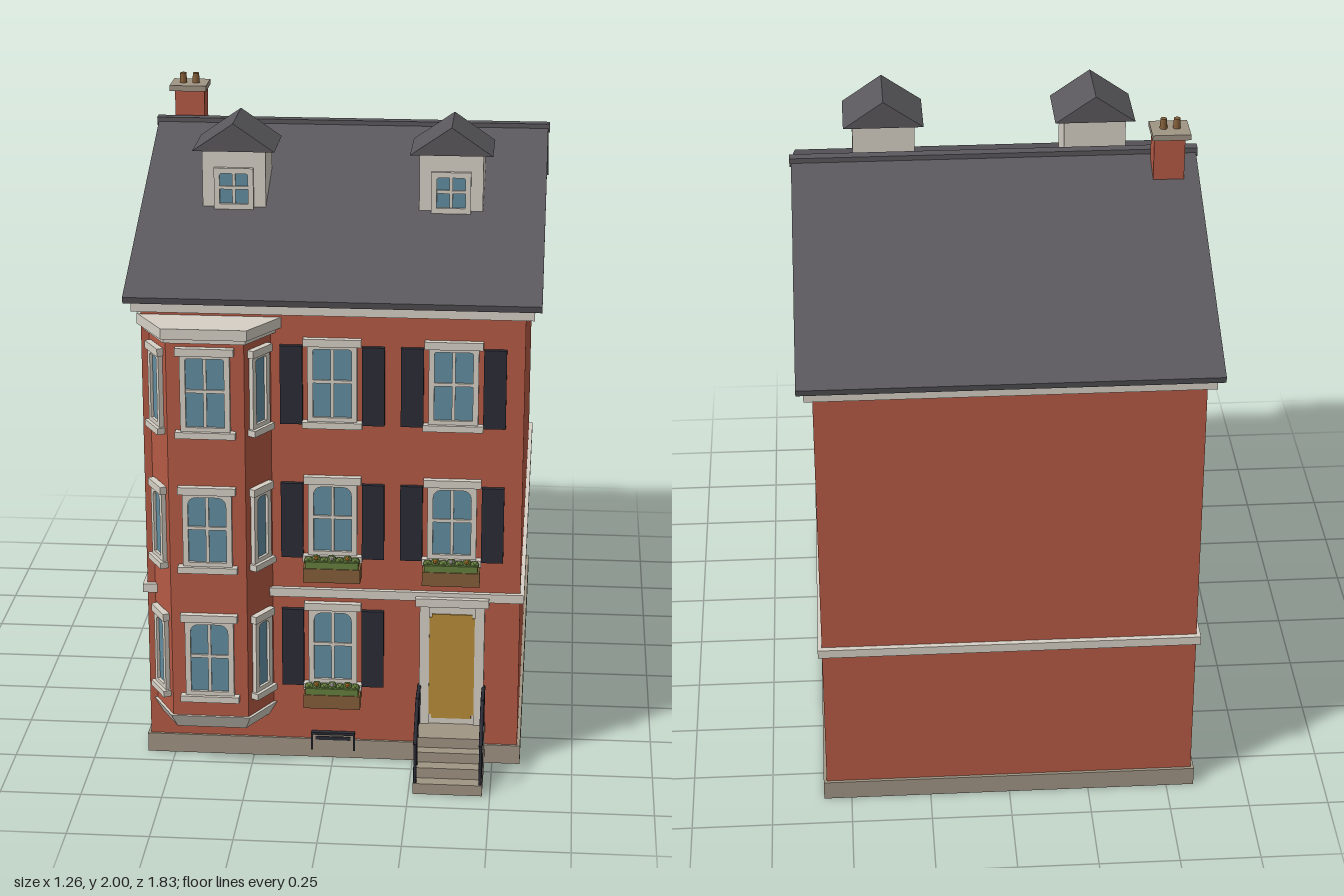
import * as THREE from 'three';

const mat = (name, color, side = THREE.FrontSide) => {
  const m = new THREE.MeshStandardMaterial({ color, side });
  m.name = name;
  return m;
};

export function createModel() {
  const brick = mat('brick', 0xb55a45), slate = mat('slate', 0x5a585c), stone = mat('stone', 0xa09584);
  const trim = mat('trim', 0xd6d0c5), glass = mat('glass', 0x628da0), gold = mat('door', 0xb88d3a);
  const dark = mat('dark', 0x2b2c35), wood = mat('wood', 0x85603a), leaf = mat('leaf', 0x66803f);
  const bloom = mat('bloom', 0xd08a35);
  const house = new THREE.Group();
  house.name = 'townhouse';

  const add = (parent, name, geo, material, x = 0, y = 0, z = 0) => {
    const m = new THREE.Mesh(geo, material);
    m.name = name;
    m.position.set(x, y, z);
    parent.add(m);
    return m;
  };
  // Box given by its limits on each axis
  const box = (parent, name, material, x0, x1, y0, y1, z0, z1) =>
    add(parent, name, new THREE.BoxGeometry(x1 - x0, y1 - y0, z1 - z0), material,
      (x0 + x1) / 2, (y0 + y1) / 2, (z0 + z1) / 2);
  const group = (parent, name, x, y, z) => {
    const g = new THREE.Group();
    g.name = name;
    g.position.set(x, y, z);
    parent.add(g);
    return g;
  };
  const poly = (pts) => new THREE.Shape(pts.map(([a, b]) => new THREE.Vector2(a, b)));
  const extrude = (shape, depth) => new THREE.ExtrudeGeometry(shape, { depth, bevelEnabled: false, curveSegments: 6 });
  // Profile in (z, y), swept along x
  const sweepX = (pts, width) => extrude(poly(pts), width).translate(0, 0, -width / 2).rotateY(-Math.PI / 2);
  // Plan in (x, z), raised from 0 to h
  const raise = (pts, h) => extrude(poly(pts.map(([x, z]) => [x, -z])), h).rotateX(-Math.PI / 2);
  // Round bar between two points
  const bar = (parent, name, a, b, r) => {
    const p = new THREE.Vector3(...a), q = new THREE.Vector3(...b), d = q.clone().sub(p);
    const m = add(parent, name, new THREE.CylinderGeometry(r, r, d.length(), 8), dark);
    m.position.copy(p).add(q).multiplyScalar(0.5);
    m.quaternion.setFromUnitVectors(new THREE.Vector3(0, 1, 0), d.normalize());
  };

  // Walls with gables, plinth, string course and cornice
  add(house, 'walls', sweepX([[-0.87, 0.005], [0.68, 0.005], [0.68, 1.49], [-0.095, 1.84], [-0.87, 1.49]], 1.155), brick);
  box(house, 'plinth', stone, -0.587, 0.587, 0, 0.062, -0.88, 0.688);
  box(house, 'stringCourse', trim, -0.59, 0.59, 0.548, 0.576, -0.887, 0.695);
  box(house, 'cornice', trim, -0.603, 0.603, 1.462, 1.492, -0.895, 0.705);

  // Main roof and ridge
  add(house, 'roof', sweepX([[0.72, 1.492], [0.725, 1.512], [-0.097, 1.864], [-0.915, 1.512], [-0.91, 1.492], [-0.097, 1.842]], 1.25), slate);
  box(house, 'ridge', slate, -0.63, 0.63, 1.845, 1.872, -0.115, -0.082);

  // Chimney with two pots
  box(house, 'chimney', brick, -0.577, -0.482, 1.75, 1.95, -0.212, -0.127);
  box(house, 'chimneyCap', stone, -0.593, -0.475, 1.95, 1.968, -0.225, -0.116);
  for (const x of [-0.555, -0.514])
    add(house, 'chimneyPot', new THREE.CylinderGeometry(0.01, 0.012, 0.035, 12), wood, x, 1.9825, -0.17);

  // Sash window on a wall plane: frame with opening, glass, bars, sill and head
  function sash(parent, x, y, z, { w = 0.15, h = 0.25, turn = 0, arched = false, rim = 0.017, ledge = 0.016, cross = true }) {
    const g = group(parent, 'window', x, y, z);
    g.rotation.y = turn;
    const a = w / 2, b = a - rim, top = h - rim, c = arched ? Math.min(0.03, b * 0.8) : 0.008;
    const frame = poly([[-a, 0], [a, 0], [a, h], [-a, h]]);
    const hole = new THREE.Path();
    hole.moveTo(-b, rim);
    hole.lineTo(-b, top - c);
    hole.quadraticCurveTo(-b, top, -b + c, top);
    hole.lineTo(b - c, top);
    hole.quadraticCurveTo(b, top, b, top - c);
    hole.lineTo(b, rim);
    hole.closePath();
    frame.holes.push(hole);
    add(g, 'windowFrame', extrude(frame, 0.014), trim);
    box(g, 'windowGlass', glass, -a + 0.004, a - 0.004, 0.004, h - 0.004, 0, 0.005);
    if (cross) {
      box(g, 'uprightBar', trim, -0.005, 0.005, rim, top, 0.002, 0.01);
      box(g, 'crossBar', trim, -b, b, h * 0.52 - 0.005, h * 0.52 + 0.005, 0.002, 0.011);
    }
    if (ledge) {
      box(g, 'windowSill', trim, -a - ledge, a + ledge, -0.016, 0.004, 0, 0.025);
      box(g, 'windowHead', trim, -a - ledge * 0.8, a + ledge * 0.8, h - 0.008, h + 0.016, 0, 0.02);
    }
    return g;
  }

  // Window box with leaves and flowers
  function planter(x, y) {
    const g = group(house, 'windowBox', x, y, 0.68);
    box(g, 'planterBox', wood, -0.088, 0.088, 0, 0.045, 0, 0.055);
    box(g, 'leaves', leaf, -0.082, 0.082, 0.04, 0.066, 0.006, 0.052);
    for (let i = 0; i < 7; i++) {
      const px = -0.072 + i * 0.024;
      add(g, 'leafClump', new THREE.IcosahedronGeometry(0.016, 0), leaf, px, 0.064 + (i % 2) * 0.006, 0.034);
      if (i % 2) add(g, 'flower', new THREE.IcosahedronGeometry(0.008, 0), i === 3 ? trim : bloom, px, 0.078, 0.045);
    }
  }

  // Bay: three facets with foot and cornice
  const bayX = -0.37;
  const plan = (back, front, z) => [[-back, 0.67], [back, 0.67], [front, z], [-front, z]];
  const bay = group(house, 'bay', bayX, 0, 0);
  add(bay, 'bayWall', raise(plan(0.189, 0.117, 0.8), 1.25), brick, 0, 0.17, 0);
  const foot = raise(plan(0.2, 0.123, 0.808), 0.045), p = foot.attributes.position;
  for (let i = 0; i < p.count; i++)
    if (p.getY(i) < 0.01) p.setXYZ(i, p.getX(i) * 0.87, p.getY(i), 0.67 + (p.getZ(i) - 0.67) * 0.85);
  foot.computeVertexNormals();
  add(bay, 'bayFoot', foot, trim, 0, 0.14, 0);
  add(bay, 'bayCorniceLower', raise(plan(0.205, 0.122, 0.81), 0.02), trim, 0, 1.4, 0);
  add(bay, 'bayCorniceUpper', raise(plan(0.222, 0.128, 0.822), 0.033), trim, 0, 1.415, 0);

  // Windows on three storeys
  const rows = [[0.256, 0.258, true], [0.686, 0.245, true], [1.121, 0.25, false]];
  rows.forEach(([y, h, arched], floor) => {
    sash(bay, 0, y, 0.8, { h, arched });
    for (const s of [-1, 1])
      sash(bay, s * 0.151, y, 0.742, { w: 0.085, h: h - 0.012, arched, turn: s * 1.04, ledge: 0.008, cross: false });
    for (const x of [0, 0.365]) {
      if (floor === 0 && x > 0) continue;
      sash(house, x, y, 0.68, { h, arched });
      for (const s of [-1, 1])
        box(house, 'shutter', dark, x + s * 0.124 - 0.034, x + s * 0.124 + 0.034, y - 0.006, y + h - 0.008, 0.675, 0.695);
      if (floor < 2) planter(x, floor ? 0.615 : 0.19);
    }
  });

  // Dormers
  for (const x of [-0.335, 0.335]) {
    const g = group(house, 'dormer', x, 0, 0);
    box(g, 'dormerWalls', trim, -0.098, 0.098, 1.675, 1.868, 0.125, 0.315);
    add(g, 'dormerRoof', extrude(poly([[-0.127, 1.864], [0.127, 1.864], [0, 1.952]]), 0.217), slate, 0, 0, 0.11);
    sash(g, 0, 1.682, 0.314, { w: 0.122, h: 0.13, ledge: 0 });
  }

  // Door with surround
  const door = group(house, 'door', 0.37, 0, 0.68);
  for (const s of [-1, 1]) box(door, 'doorPost', trim, s * 0.085 - 0.015, s * 0.085 + 0.015, 0.13, 0.54, 0, 0.022);
  box(door, 'doorBacking', trim, -0.09, 0.09, 0.13, 0.54, 0, 0.016);
  box(door, 'doorHead', trim, -0.113, 0.113, 0.535, 0.562, 0, 0.032);
  box(door, 'doorPanel', gold, -0.062, 0.062, 0.155, 0.507, 0.012, 0.02);
  box(door, 'doorPanelWide', gold, -0.07, 0.07, 0.168, 0.495, 0.012, 0.02);

  // Steps and railings
  [[0.135, 0.8], [0.102, 0.835], [0.069, 0.875], [0.035, 0.915]].forEach(([h, z]) =>
    box(house, 'step', stone, 0.264, 0.476, 0, h, 0.67, z));
  for (const x of [0.27, 0.47]) {
    const rail = group(house, 'railing', x, 0, 0);
    for (const [z, low, high] of [[0.7, 0.135, 0.262], [0.797, 0.135, 0.262], [0.855, 0.069, 0.212], [0.907, 0.035, 0.165]])
      bar(rail, 'railPost', [0, low, z], [0, high, z], 0.005);
    bar(rail, 'topRail', [0, 0.262, 0.69], [0, 0.262, 0.8], 0.006);
    bar(rail, 'slopedRail', [0, 0.262, 0.797], [0, 0.163, 0.909], 0.006);
  }

  // Basement grille
  const grille = group(house, 'basementGrille', 0, 0, 0.688);
  box(grille, 'grillePanel', stone, -0.064, 0.064, 0.028, 0.084, -0.01, 0.003);
  box(grille, 'grilleTop', dark, -0.068, 0.068, 0.08, 0.088, -0.01, 0.008);
  box(grille, 'grilleBar', dark, -0.055, 0.055, 0.062, 0.074, 0, 0.006);
  for (const s of [-1, 1]) box(grille, 'grilleSide', dark, s * 0.066 - 0.003, s * 0.066 + 0.003, 0.028, 0.084, -0.005, 0.008);

  return house;
}
